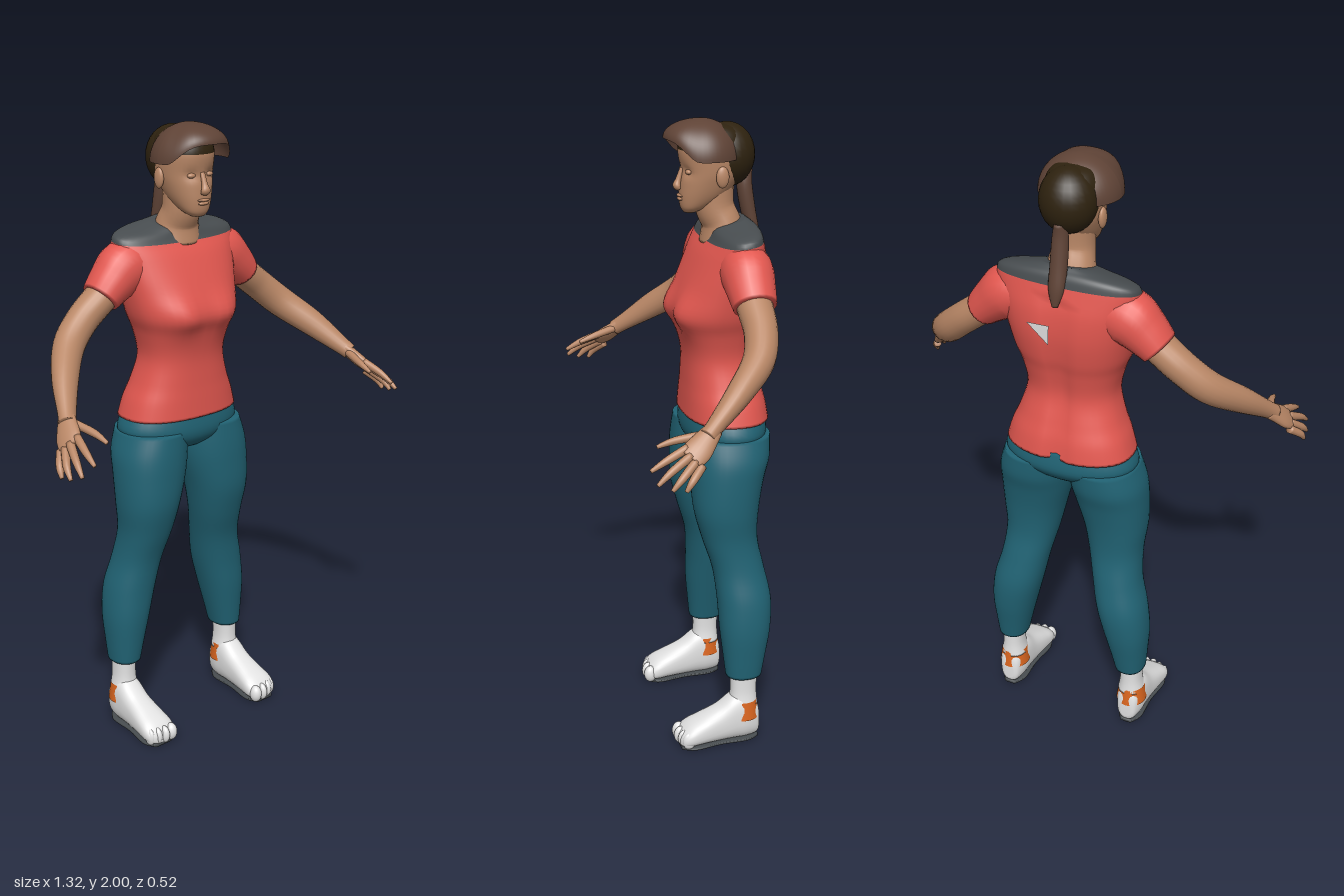
import * as THREE from 'three';

const mat = (name, color, side = THREE.FrontSide) => {
  const m = new THREE.MeshStandardMaterial({ color, side });
  m.name = name;
  return m;
};
const V = (x, y, z) => new THREE.Vector3(x, y, z);

// Catmull-Rom resampling of rows of numbers
function resample(rows, sub) {
  const out = [], n = rows.length - 1;
  for (let i = 0; i < n; i++) {
    const p0 = rows[Math.max(i - 1, 0)], p1 = rows[i], p2 = rows[i + 1], p3 = rows[Math.min(i + 2, n)];
    for (let k = 0; k < sub; k++) {
      const t = k / sub;
      out.push(p1.map((b, j) => b + 0.5 * t * (p2[j] - p0[j]
        + t * (2 * p0[j] - 5 * b + 4 * p2[j] - p3[j] + t * (3 * (b - p2[j]) + p3[j] - p0[j])))));
    }
  }
  out.push(rows[n]);
  return out;
}

// Closed smooth skin over rings of points; faces from ring `split` on use material 1
function skin(rings, split = rings.length) {
  const n = rings[0].length, pos = [], idx = [];
  rings.flat().forEach(p => pos.push(p.x, p.y, p.z));
  const cap = ring => {
    const c = ring.reduce((s, p) => s.add(p), V(0, 0, 0)).divideScalar(n);
    return pos.push(c.x, c.y, c.z) / 3 - 1;
  };
  const first = cap(rings[0]), last = cap(rings[rings.length - 1]);
  let cut = 0;
  for (let i = 0; i < n; i++) idx.push(first, (i + 1) % n, i);
  for (let r = 0; r < rings.length - 1; r++) {
    if (r === split) cut = idx.length;
    for (let i = 0; i < n; i++) {
      const a = r * n + i, b = r * n + (i + 1) % n;
      idx.push(a, b, a + n, b, b + n, a + n);
    }
  }
  const top = (rings.length - 1) * n;
  for (let i = 0; i < n; i++) idx.push(last, top + i, top + (i + 1) % n);
  const g = new THREE.BufferGeometry();
  g.setAttribute('position', new THREE.Float32BufferAttribute(pos, 3));
  g.setIndex(idx);
  if (cut) { g.addGroup(0, cut, 0); g.addGroup(cut, idx.length - cut, 1); }
  g.computeVertexNormals();
  return g;
}

const spow = (c, p) => Math.sign(c) * Math.abs(c) ** (2 / p);
const ring = (n, f) => Array.from({ length: n }, (_, i) => f(i / n * Math.PI * 2));

// Upright form; rows are [y, xMin, xMax, zFront, zBack], rising
function upright(rows, { p = 2.2, sub = 5, split, tweak = v => v } = {}) {
  return skin(resample(rows, sub).map(([y, x0, x1, zf, zb]) => ring(40, a => tweak(V(
    (x0 + x1) / 2 + (x1 - x0) / 2 * spow(Math.sin(a), p), y,
    (zf + zb) / 2 + (zf - zb) / 2 * spow(Math.cos(a), p))))), split && split * sub);
}
const even = rows => rows.map(([y, w, zf, zb]) => [y, -w, w, zf, zb]);

// Limb along a path; rows are [x, y, z, radius along hint, other radius]
function limb(rows, hint = V(0, 0, 1), n = 20, sub = 5) {
  const s = resample(rows, sub);
  return skin(s.map((q, i) => {
    const a = s[Math.max(i - 1, 0)], b = s[Math.min(i + 1, s.length - 1)];
    const t = V(b[0] - a[0], b[1] - a[1], b[2] - a[2]).normalize();
    const u = hint.clone().addScaledVector(t, -hint.dot(t)).normalize();
    const v = t.clone().cross(u);
    return ring(n, k => V(q[0], q[1], q[2]).addScaledVector(u, q[3] * Math.cos(k)).addScaledVector(v, q[4] * Math.sin(k)));
  }));
}

// Form along z; rows are [z, half width, bottom, top]
const alongZ = (rows, cx, p) => skin(resample(rows, 5).map(([z, w, y0, y1]) => ring(32, a => V(
  cx + w * spow(Math.cos(a), p), (y0 + y1) / 2 + (y1 - y0) / 2 * spow(Math.sin(a), p), z))));

const ball = (x, y, z, rx, ry, rz) => new THREE.SphereGeometry(1, 24, 16).scale(rx, ry, rz).translate(x, y, z);

function mirror(geo) {
  const g = geo.clone().scale(-1, 1, 1), ix = g.index.array;
  for (let i = 0; i < ix.length; i += 3) [ix[i], ix[i + 1]] = [ix[i + 1], ix[i]];
  g.computeVertexNormals();
  return g;
}

export function createModel() {
  const model = new THREE.Group();
  const skinTone = mat('skin', 0xb98766), red = mat('shirt red', 0xe2574f), teal = mat('trouser teal', 0x216374);
  const grey = mat('charcoal', 0x474c4f), brown = mat('hair brown', 0x5f4336, THREE.DoubleSide);
  const dark = mat('dark hair', 0x2e220f), white = mat('shoe white', 0xe3e3e3), orange = mat('heel orange', 0xd9651f);
  const add = (name, geo, material) => {
    const m = new THREE.Mesh(geo, material);
    m.name = name;
    model.add(m);
  };
  const pair = (name, geo, material) => {
    add(name + 'Left', geo, material);
    add(name + 'Right', mirror(geo), material);
  };

  // Shirt with bust, spine groove and a charcoal yoke sloping down to the front
  add('shirt', upright(even([
    [1.083, 0.207, 0.003, -0.263], [1.14, 0.19, 0.0, -0.253], [1.2, 0.165, -0.003, -0.235],
    [1.28, 0.145, -0.003, -0.215], [1.36, 0.16, 0.012, -0.225], [1.42, 0.183, 0.028, -0.24],
    [1.5, 0.2, 0.005, -0.25], [1.58, 0.215, -0.03, -0.245], [1.645, 0.225, -0.065, -0.225],
    [1.668, 0.2, -0.075, -0.215], [1.682, 0.13, -0.08, -0.2], [1.692, 0.08, -0.085, -0.19],
  ]), {
    p: 2.4, split: 8, tweak: v => {
      const ax = Math.abs(v.x);
      if (v.z > -0.08) v.z += 0.022 * Math.exp(-(((ax - 0.08) / 0.06) ** 2) - ((v.y - 1.42) / 0.06) ** 2);
      if (v.z < -0.18 && v.y < 1.62) v.z += 0.016 * Math.exp(-((v.x / 0.025) ** 2));
      v.y -= 0.25 * (v.z + 0.13) * THREE.MathUtils.smoothstep(v.y, 1.6, 1.69);
      return v;
    },
  }), [red, grey]);
  pair('sleeve', limb([[0.13, 1.575, -0.145, 0.075, 0.075], [0.19, 1.567, -0.145, 0.08, 0.086],
    [0.24, 1.53, -0.143, 0.074, 0.072], [0.285, 1.488, -0.142, 0.066, 0.057]]), red);
  const patch = new THREE.BufferGeometry();
  patch.setAttribute('position', new THREE.Float32BufferAttribute(
    [0.012, 1.545, -0.256, 0.085, 1.54, -0.252, 0.015, 1.48, -0.254], 3));
  patch.computeVertexNormals();
  add('backPatch', patch, white);

  // Arms and hands
  pair('arm', limb([[0.2, 1.555, -0.14, 0.055, 0.05], [0.29, 1.485, -0.14, 0.054, 0.05],
    [0.36, 1.43, -0.135, 0.05, 0.05], [0.43, 1.368, -0.105, 0.047, 0.05], [0.5, 1.3, -0.025, 0.038, 0.044],
    [0.555, 1.232, 0.06, 0.026, 0.03], [0.572, 1.21, 0.088, 0.026, 0.026]]), skinTone);
  const across = V(0.04, -0.04, -0.03).normalize();
  pair('palm', limb([[0.56, 1.225, 0.065, 0.026, 0.02], [0.575, 1.205, 0.09, 0.033, 0.019],
    [0.592, 1.18, 0.12, 0.04, 0.018], [0.606, 1.162, 0.146, 0.036, 0.012]], across), skinTone);
  [
    [[0.582, 1.186, 0.148], [0.595, 1.16, 0.21], [0.6, 1.135, 0.257]],
    [[0.602, 1.17, 0.143], [0.625, 1.137, 0.205], [0.635, 1.105, 0.246]],
    [[0.612, 1.155, 0.132], [0.64, 1.12, 0.178], [0.648, 1.09, 0.208]],
    [[0.618, 1.143, 0.116], [0.645, 1.112, 0.15], [0.652, 1.085, 0.17]],
    [[0.56, 1.212, 0.09], [0.538, 1.195, 0.17], [0.531, 1.178, 0.222]],
  ].forEach((f, i) => pair(i < 4 ? 'finger' + (i + 1) : 'thumb',
    limb(f.map((q, k) => [...q, ...Array(2).fill([0.0135, 0.0115, 0.006][k])]), across, 12), skinTone));

  // Trousers
  add('trouserHips', upright(even([[0.97, 0.1, -0.05, -0.2], [1.0, 0.17, -0.012, -0.235],
    [1.04, 0.217, 0.001, -0.258], [1.1, 0.197, -0.006, -0.25]])), teal);
  pair('trouserLeg', upright([
    [0.235, 0.17, 0.27, -0.087, -0.205], [0.3, 0.155, 0.275, -0.08, -0.217], [0.4, 0.13, 0.28, -0.07, -0.235],
    [0.5, 0.105, 0.27, -0.066, -0.24], [0.6, 0.085, 0.245, -0.055, -0.222], [0.7, 0.062, 0.236, -0.025, -0.203],
    [0.8, 0.04, 0.245, 0, -0.207], [0.9, 0.014, 0.246, 0.005, -0.225], [0.97, 0.003, 0.24, 0.004, -0.245],
    [1.04, 0.002, 0.217, -0.002, -0.25]]), teal);

  // Shoes with toes, soles, heel bands and socks
  const cx = 0.225;
  pair('sock', upright([[0.13, 0.18, 0.268, -0.095, -0.192], [0.18, 0.187, 0.26, -0.102, -0.188],
    [0.26, 0.185, 0.26, -0.1, -0.19]]), white);
  pair('shoe', alongZ([[-0.197, 0.018, 0.03, 0.09], [-0.187, 0.034, 0.012, 0.135], [-0.15, 0.046, 0.006, 0.17],
    [-0.11, 0.048, 0.006, 0.168], [-0.06, 0.049, 0.006, 0.13], [0, 0.055, 0.006, 0.1],
    [0.04, 0.058, 0.006, 0.08], [0.065, 0.05, 0.008, 0.06], [0.076, 0.03, 0.012, 0.045]], cx, 2.5), white);
  pair('sole', alongZ([[-0.192, 0.02, 0, 0.012], [-0.15, 0.042, 0, 0.012], [-0.06, 0.042, 0, 0.012],
    [0.03, 0.054, 0, 0.012], [0.072, 0.035, 0, 0.012]], cx, 4), grey);
  [[-0.036, 0.02, 0.066], [-0.008, 0.015, 0.067], [0.017, 0.014, 0.06], [0.04, 0.013, 0.05]]
    .forEach(([x, r, z], i) => pair('toe' + (i + 1), ball(cx + x, 0.034, z, r, 0.03, 0.022), white));
  pair('heelBand', new THREE.CylinderGeometry(0.043, 0.051, 0.062, 28, 1, true, Math.PI * 0.4, Math.PI * 1.2)
    .scale(1, 1, 1.1).translate(cx, 0.115, -0.143), orange);

  // Neck and head, with the scalp in dark hair
  add('neck', limb([[0, 1.64, -0.13, 0.075, 0.085], [0, 1.69, -0.12, 0.06, 0.072],
    [0, 1.74, -0.1, 0.06, 0.06], [0, 1.82, -0.1, 0.06, 0.06]]), skinTone);
  add('head', upright(even([
    [1.722, 0.022, -0.004, -0.04], [1.738, 0.042, 0.006, -0.075], [1.77, 0.06, 0.01, -0.13],
    [1.81, 0.074, 0.008, -0.165], [1.85, 0.083, 0.004, -0.185], [1.91, 0.086, 0.012, -0.195],
    [1.95, 0.077, -0.004, -0.185], [1.975, 0.055, -0.03, -0.16], [1.985, 0.02, -0.07, -0.12]]), {
    split: 5, tweak: v => {
      // eye sockets
      if (v.z > -0.05) v.z -= 0.009 * Math.exp(-(((Math.abs(v.x) - 0.034) / 0.017) ** 2) - ((v.y - 1.848) / 0.014) ** 2);
      return v;
    },
  }), [skinTone, dark]);
  add('nose', limb([[0, 1.855, 0.002, 0.006, 0.008], [0, 1.82, 0.013, 0.009, 0.01],
    [0, 1.803, 0.018, 0.012, 0.016], [0, 1.793, 0.012, 0.008, 0.014]], V(0, 0, 1), 16), skinTone);
  add('upperLip', ball(0, 1.773, 0.008, 0.023, 0.005, 0.009), skinTone);
  add('lowerLip', ball(0, 1.763, 0.007, 0.02, 0.006, 0.009), skinTone);
  pair('eyelid', ball(0.034, 1.847, -0.009, 0.014, 0.008, 0.01), skinTone);
  pair('ear', ball(0.086, 1.835, -0.1, 0.011, 0.032, 0.02).rotateZ(0), skinTone);

  // Bowl-shaped hair with a raised front rim
  const bowl = new THREE.SphereGeometry(1, 48, 20, 0, Math.PI * 2, 0, Math.PI / 2);
  const bp = bowl.attributes.position;
  for (let i = 0; i < bp.count; i++) {
    const x = bp.getX(i), y = bp.getY(i), z = bp.getZ(i), r = Math.hypot(x, z) || 1;
    const rim = 1.885 + 0.058 * THREE.MathUtils.smoothstep(z / r, 0.3, 1);
    bp.setXYZ(i, x * 0.125, rim + (2 - rim) * y, -0.058 + z * 0.115);
  }
  bowl.computeVertexNormals();
  add('bowlHair', bowl, brown);
  add('backHair', ball(0, 1.89, -0.138, 0.086, 0.097, 0.086), dark);
  add('ponytail', limb([[0, 1.845, -0.2, 0.02, 0.015], [0, 1.8, -0.195, 0.024, 0.024],
    [0, 1.72, -0.208, 0.023, 0.026], [0, 1.65, -0.226, 0.018, 0.024], [0, 1.6, -0.238, 0.007, 0.009]]), brown);

  return model;
}
